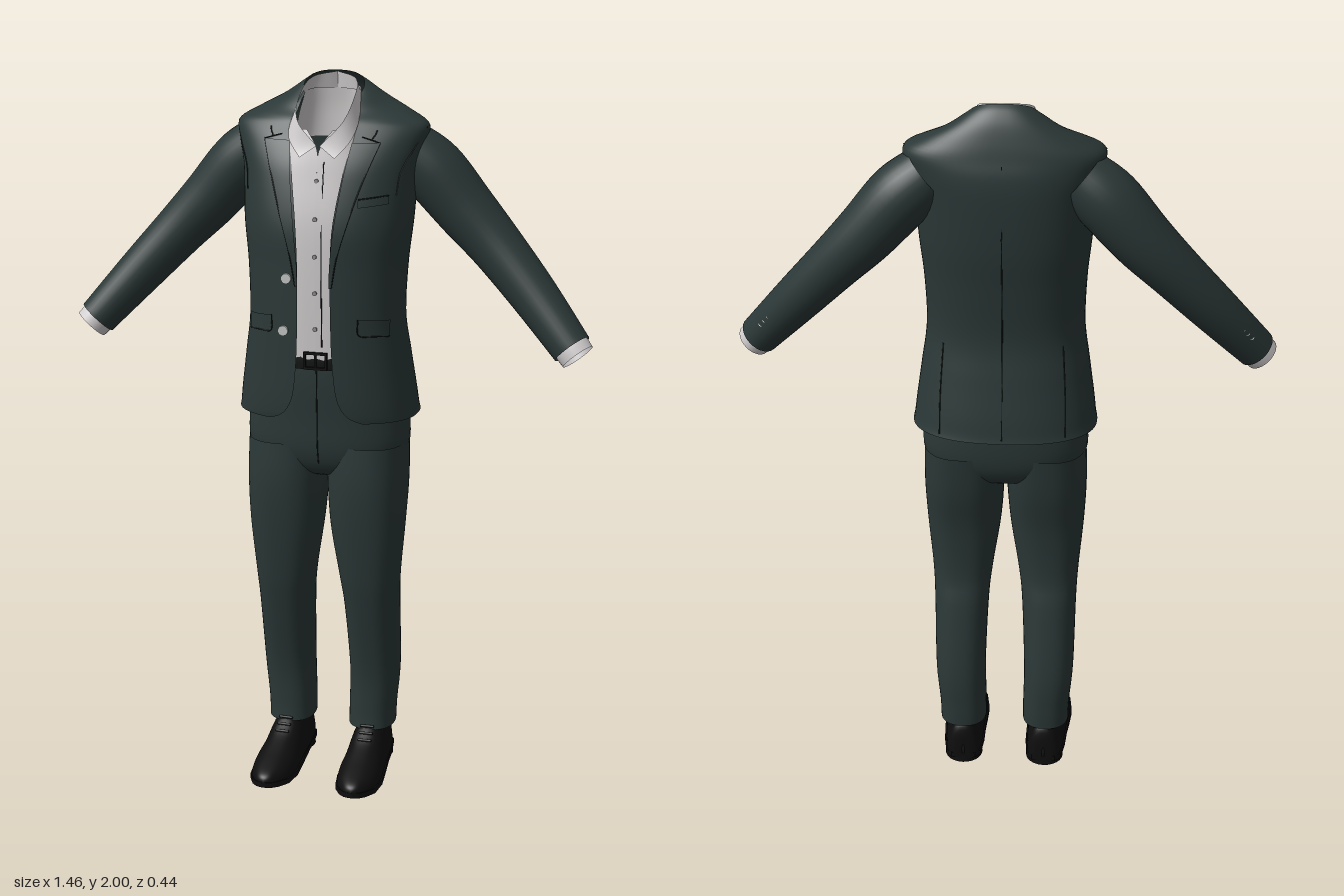
import * as THREE from 'three';

const mat = (name, color, side = THREE.DoubleSide) => {
  const m = new THREE.MeshStandardMaterial({ color, side });
  m.name = name;
  return m;
};

// smooth interpolation through rows of numbers, t from 0 to 1
function sample(rows, t) {
  const f = t * (rows.length - 1), i = Math.min(Math.floor(f), rows.length - 2), u = f - i;
  const at = (k) => rows[Math.max(0, Math.min(rows.length - 1, k))];
  return rows[i].map((_, k) => {
    const [a, b, c, d] = [at(i - 1)[k], at(i)[k], at(i + 1)[k], at(i + 2)[k]];
    return b + 0.5 * u * (c - a + u * (2 * a - 5 * b + 4 * c - d + u * (3 * (b - c) + d - a)));
  });
}

// surface from a rule fn(u, v) -> Vector3
function grid(fn, nu, nv, closed = false) {
  const pos = [], idx = [], w = closed ? nu : nu + 1;
  for (let j = 0; j <= nv; j++) for (let i = 0; i < w; i++) pos.push(...fn(i / nu, j / nv).toArray());
  for (let j = 0; j < nv; j++) for (let i = 0; i < nu; i++) {
    const a = j * w + i, b = j * w + (i + 1) % w;
    idx.push(a, b, a + w, b, b + w, a + w);
  }
  const g = new THREE.BufferGeometry();
  g.setAttribute('position', new THREE.Float32BufferAttribute(pos, 3));
  g.setIndex(idx);
  g.computeVertexNormals();
  return g;
}

// cross-section row: [y, centre x, half width, front z, back z, half gap, tilt]
const N = 2.4;
const bulge = (v) => Math.sign(v) * Math.abs(v) ** (2 / N);
function ringPoint([y, cx, hw, zf, zb, , tilt = 0], a) {
  const k = bulge(Math.cos(a));
  return new THREE.Vector3(cx + hw * bulge(Math.sin(a)), y - tilt * k, (zf + zb) / 2 + (zf - zb) / 2 * k);
}
const gapAngle = (r) => Math.asin(Math.min(1, Math.max(0, r[5]) / r[2]) ** (N / 2));
const ringShell = (rows, s = 1) => grid((u, v) => {
  const p = ringPoint(sample(rows, v), u * Math.PI * 2);
  p.x *= s;
  return p;
}, 40, rows.length * 4, true);

const JACKET = [
  [1.08, 0, .252, .128, -.216, .13, 0], [1.1, 0, .248, .132, -.212, .09, 0], [1.15, 0, .242, .135, -.205, .062, 0],
  [1.25, 0, .228, .137, -.188, .05, 0], [1.36, 0, .214, .139, -.173, .046, 0], [1.5, 0, .218, .14, -.185, .045, 0],
  [1.62, 0, .23, .138, -.2, .05, 0], [1.75, 0, .238, .106, -.207, .068, 0], [1.82, 0, .254, .072, -.204, .08, 0],
  [1.87, 0, .262, .035, -.192, .086, 0], [1.9, 0, .215, .022, -.18, .086, .012], [1.93, 0, .148, .005, -.163, .082, .027],
  [1.955, 0, .105, -.01, -.143, .077, .033], [1.967, 0, .083, -.03, -.125, .073, .035],
];
// point on the jacket at x, y, lifted off the cloth
function onJacket(x, y, lift = .003, front = true) {
  let lo = 0, hi = 1;
  for (let i = 0; i < 24; i++) {
    const m = (lo + hi) / 2;
    if (sample(JACKET, m)[0] < y) lo = m; else hi = m;
  }
  const [, , hw, zf, zb] = sample(JACKET, lo);
  const k = Math.max(0, 1 - Math.min(1, Math.abs(x) / hw) ** N) ** (1 / N) * (front ? 1 : -1);
  return new THREE.Vector3(x, y, (zf + zb) / 2 + (zf - zb) / 2 * k + (front ? lift : -lift));
}

export function createModel() {
  const root = new THREE.Group();
  root.name = 'suit';
  const cloth = mat('suit cloth', 0x2b3837), seamM = mat('seam', 0x141b1a), shirt = mat('shirt', 0xd2cecf);
  const leather = mat('shoe leather', 0x0e0e0f), beltM = mat('belt leather', 0x131414), metal = mat('button', 0xc4c6c6);
  const grey = mat('shirt button', 0x8f8d90);
  const add = (name, geo, m, parent = root) => {
    const mesh = new THREE.Mesh(geo, m);
    mesh.name = name;
    parent.add(mesh);
    return mesh;
  };
  const seam = (name, pts) => add(name, new THREE.TubeGeometry(new THREE.CatmullRomCurve3(pts), 24, .0018, 5), seamM);
  const front = (list, lift) => list.map(([x, y]) => onJacket(x, y, lift));
  const button = (name, p, n, r, m) => {
    const b = add(name, new THREE.CylinderGeometry(r, r, .007, 14), m);
    b.position.copy(p);
    b.quaternion.setFromUnitVectors(new THREE.Vector3(0, 1, 0), n.clone().normalize());
  };
  const Z = new THREE.Vector3(0, 0, 1);

  // jacket body, open down the front
  add('jacketBody', grid((u, v) => {
    const r = sample(JACKET, v), g = gapAngle(r);
    return ringPoint(r, g + u * (2 * Math.PI - 2 * g));
  }, 64, 64), cloth);
  seam('backSeam', [1.09, 1.25, 1.45, 1.65, 1.86].map((y) => onJacket(0, y, .0005, false)));

  const SLEEVE = [[.2, 1.8, -.1, .08], [.27, 1.742, -.11, .088], [.36, 1.64, -.112, .082], [.45, 1.545, -.1, .073],
    [.56, 1.425, -.068, .065], [.675, 1.295, -.02, .055]];
  const CUFF = [[.66, 1.312, -.026, .048], [.677, 1.293, -.02, .049], [.692, 1.276, -.014, .048]];
  const LEG = [[1, .112, .112, .095, -.165], [.88, .115, .111, .098, -.15], [.75, .117, .103, .088, -.123],
    [.6, .122, .085, .068, -.114], [.5, .125, .077, .048, -.132], [.3, .127, .071, .006, -.158],
    [.18, .121, .067, -.001, -.158], [.12, .12, .066, .001, -.155]];
  const SHIRT = [[1.24, 0, .17, .117, -.1, 0], [1.45, 0, .17, .125, -.1, 0], [1.62, 0, .17, .124, -.1, 0],
    [1.75, 0, .15, .104, -.1, 0], [1.82, 0, .115, .089, -.1, .003], [1.87, 0, .096, .074, -.1, .035]];
  const vecs = (a) => new THREE.CatmullRomCurve3(a.map((p) => new THREE.Vector3(...p)));
  const collarTop = vecs([[0, 2, -.115], [.06, 1.987, -.08], [.075, 1.945, .005], [.06, 1.89, .072], [.004, 1.83, .09]]);
  const collarLow = vecs([[0, 1.955, -.122], [.074, 1.95, -.08], [.092, 1.895, .005], [.085, 1.845, .072], [.048, 1.8, .102]]);
  // round tube of changing radius
  const sleeveTube = (rows, s) => grid((u, v) => {
    const [x, y, z, r] = sample(rows, v);
    const a = sample(rows, Math.max(0, v - .02)), b = sample(rows, Math.min(1, v + .02));
    const t = new THREE.Vector3(b[0] - a[0], b[1] - a[1], b[2] - a[2]).normalize();
    const p = new THREE.Vector3().crossVectors(Z, t).normalize(), q = new THREE.Vector3().crossVectors(t, p);
    const o = new THREE.Vector3(x, y, z).addScaledVector(p, r * Math.cos(u * 2 * Math.PI));
    o.addScaledVector(q, r * Math.sin(u * 2 * Math.PI)).x *= s;
    return o;
  }, 28, rows.length * 5, true);

  // shoe rows: [z, half width, top height]
  const SHOE = [[-.165, .004, .06], [-.162, .03, .1], [-.145, .046, .13], [-.08, .054, .14], [-.02, .056, .135],
    [.04, .059, .1], [.1, .062, .078], [.16, .054, .06], [.2, .034, .047], [.216, .018, .037], [.221, .002, .025]];
  const outline = (z0, grow) => {
    const rows = SHOE.filter((r) => r[0] >= z0);
    return new THREE.Shape([...rows.map(([z, w]) => new THREE.Vector2(w + grow, -z)),
      ...rows.reverse().map(([z, w]) => new THREE.Vector2(-w - grow, -z))]);
  };
  const slab = (shape, depth) => new THREE.ExtrudeGeometry(shape, { depth, bevelEnabled: false }).rotateX(-Math.PI / 2);

  for (const s of [1, -1]) {
    const side = s > 0 ? 'left' : 'right';
    // sleeves and shirt cuffs
    add(side + 'Sleeve', sleeveTube(SLEEVE, s), cloth);
    add(side + 'ShirtCuff', sleeveTube(CUFF, s), shirt);
    for (let i = 0; i < 3; i++) {
      button(side + 'SleeveButton', new THREE.Vector3(s * (.632 + i * .012), 1.387 - i * .0145, -.098 + i * .006),
        new THREE.Vector3(s * .45, .35, -.82), .008, metal);
    }
    seam(side + 'ArmholeSeam', [[.262, 1.868], [.24, 1.82], [.212, 1.76], [.205, 1.7]].map(([x, y]) => onJacket(s * x, y, .001)));
    seam(side + 'SideVent', [[.17, 1.09], [.168, 1.2], [.16, 1.34]].map(([x, y]) => onJacket(s * x, y, .001, false)));

    // lapel with dark edge
    const edge = [[.05, 1.46], [.066, 1.55], [.098, 1.66], [.13, 1.76], [.158, 1.838]];
    add(side + 'Lapel', grid((u, v) => {
      const [x, y] = sample(edge, v);
      const inner = .044 + Math.max(0, y - 1.5) ** 1.3 * .17;
      return onJacket(s * (inner + (x - inner) * u), y, .006);
    }, 8, 24), cloth);
    seam(side + 'LapelEdge', front(edge.map(([x, y]) => [s * x, y]), .005));
    seam(side + 'LapelNotch', front([[s * .158, 1.838], [s * .135, 1.845], [s * .11, 1.852]], .005));
    seam(side + 'CollarEdge', front([[s * .135, 1.845], [s * .143, 1.858], [s * .146, 1.868]], .004));

    // hip pocket flap
    add(side + 'PocketFlap', grid((u, v) => onJacket(s * (.12 + .075 * u), 1.33 + .045 * v - .008 * u, .006), 10, 4), cloth);
    seam(side + 'FlapEdge', front([[.12, 1.375], [.122, 1.332], [.16, 1.327], [.195, 1.322]].map(([x, y]) => [s * x, y]), .006));

    // shirt front half and collar
    add(side + 'ShirtFront', grid((u, v) => {
      const r = sample(SHIRT, v), g = gapAngle(r), p = ringPoint(r, g + u * (1.35 - g));
      p.x *= s;
      return p;
    }, 16, 28), shirt);
    add(side + 'ShirtCollar', grid((u, v) => {
      const p = collarTop.getPoint(v).lerp(collarLow.getPoint(v), u);
      p.x *= s;
      return p;
    }, 4, 28), shirt);

    // trouser leg
    add(side + 'TrouserLeg', ringShell(LEG, s), cloth);

    // shoe
    const shoe = new THREE.Group();
    shoe.name = side + 'Shoe';
    shoe.position.x = s * .122;
    shoe.rotation.y = s * .03;
    root.add(shoe);
    add('shoeUpper', grid((u, v) => {
      const [z, w, h] = sample(SHOE, v), a = u * Math.PI;
      return new THREE.Vector3(w * Math.sign(Math.cos(a)) * Math.abs(Math.cos(a)) ** .85, .015 + (h - .015) * Math.sin(a) ** .9, z);
    }, 22, 40), leather, shoe);
    const sole = slab(outline(-.17, .004), .016);
    const p = sole.attributes.position;
    for (let i = 0; i < p.count; i++) {
      const z = p.getZ(i);
      p.setY(i, p.getY(i) + (z < 0 ? .014 : z > .15 ? (z - .15) * .12 : .012 * Math.max(0, 1 - z / .06)));
    }
    sole.computeVertexNormals();
    add('shoeSole', sole, leather, shoe);
    add('shoeHeel', new THREE.CylinderGeometry(.052, .054, .028, 24).scale(1, 1, 1.05).translate(0, .014, -.11), leather, shoe);
    for (let i = 0; i < 3; i++) {
      const lace = add('shoeLace', new THREE.CapsuleGeometry(.004, .034, 3, 8).rotateZ(Math.PI / 2), beltM, shoe);
      lace.position.set(0, .131 - i * .014, .003 + i * .018);
    }
  }

  // shirt yoke behind the neck
  const YOKE = [[1.82, 0, .1, .06, -.13], [1.9, 0, .088, .03, -.128], [1.965, 0, .073, -.03, -.12]];
  add('shirtYoke', grid((u, v) => ringPoint(sample(YOKE, v), Math.PI * (.5 + u)), 20, 8), shirt);
  // placket and shirt buttons
  const shirtZ = (y) => {
    for (let t = 0; t <= 1; t += .01) if (sample(SHIRT, t)[0] >= y) return sample(SHIRT, t)[3];
    return .08;
  };
  seam('placketEdge', [1.29, 1.4, 1.5, 1.6, 1.7, 1.79].map((y) => new THREE.Vector3(.018, y, shirtZ(y) - .001)));
  for (let i = 0; i < 5; i++) {
    const y = 1.34 + i * .1;
    button('shirtButton', new THREE.Vector3(0, y, shirtZ(y) + .001), Z, .006, grey);
  }

  // jacket buttons and breast pocket
  for (const [x, y] of [[-.075, 1.48], [-.085, 1.335]]) button('jacketButton', onJacket(x, y, .007), Z, .014, metal);
  add('breastPocket', grid((u, v) => onJacket(.115 + .075 * u, 1.675 + .022 * v + .008 * u, .005), 8, 3), cloth);
  seam('breastPocketEdge', front([[.115, 1.697], [.15, 1.701], [.19, 1.705]], .005));

  // trouser seat, fly and belt
  add('trouserSeat', ringShell([[1.27, 0, .185, .108, -.15], [1.18, 0, .205, .108, -.162], [1.08, 0, .224, .102, -.17],
    [.98, 0, .223, .096, -.165], [.92, 0, .17, .07, -.135], [.895, 0, .07, .02, -.08], [.89, 0, .01, -.02, -.04]]), cloth);
  seam('fly', [[0, 1.22, .109], [0, 1.1, .104], [0, 1.0, .1], [0, .95, .088]].map((q) => new THREE.Vector3(...q)));
  add('belt', ringShell([[1.225, 0, .197, .116, -.157], [1.25, 0, .196, .118, -.157], [1.28, 0, .192, .116, -.155]]), beltM);
  for (const y of [1.23, 1.272]) add('buckleBar', new THREE.BoxGeometry(.06, .007, .008).translate(0, y, .121), leather);
  for (const x of [-.03, 0, .03]) add('bucklePost', new THREE.BoxGeometry(.006, .048, .008).translate(x, 1.251, .12), leather);
  return root;
}
